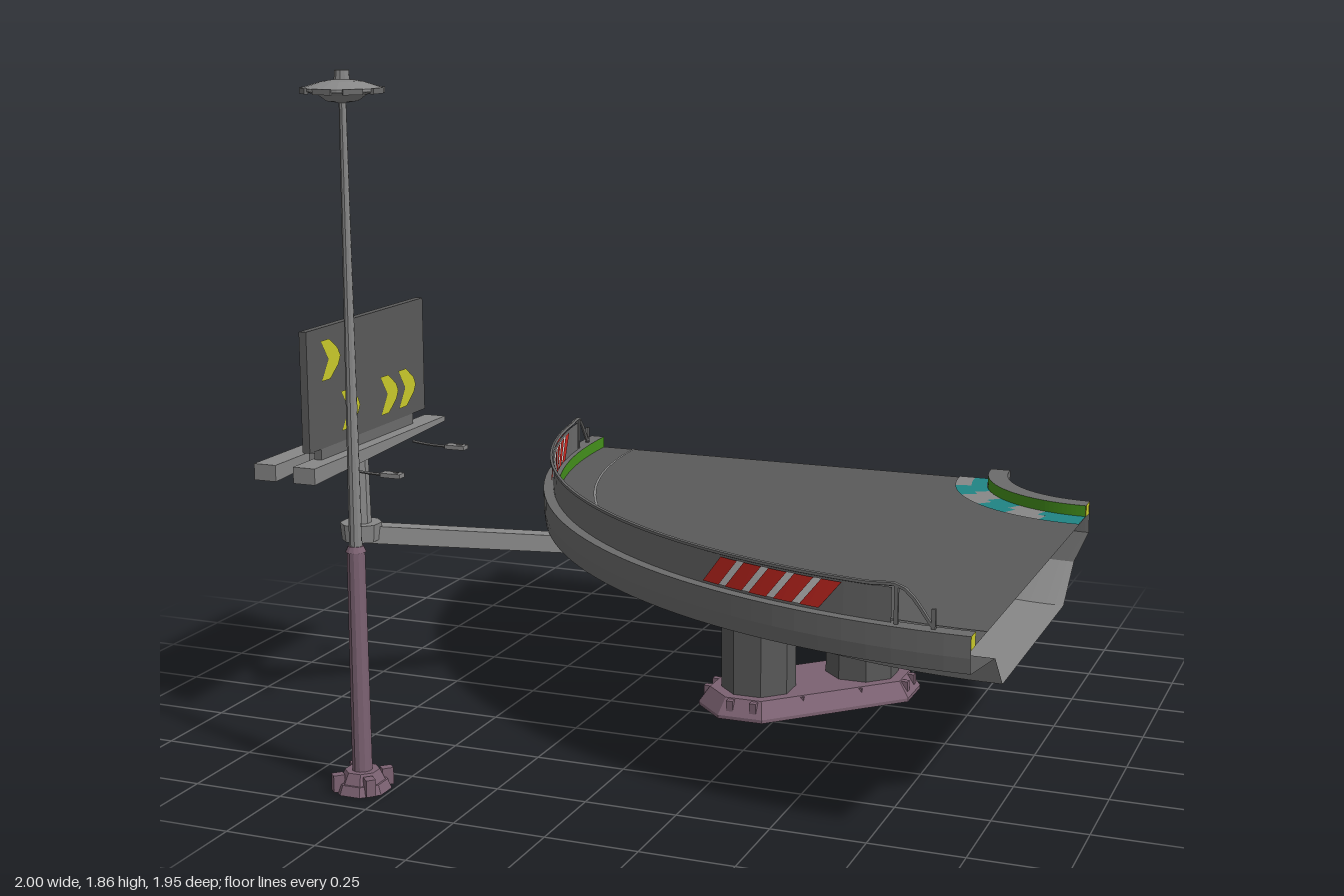
import * as THREE from 'three';
import { ConvexGeometry } from 'three/addons/geometries/ConvexGeometry.js';

const mat = (name, color, extra = {}) => {
  const m = new THREE.MeshStandardMaterial({ color, side: THREE.DoubleSide, flatShading: true, ...extra });
  m.name = name;
  return m;
};

export function createModel() {
  const asphalt = mat('asphalt', 0x5a5a5a), wall = mat('wallGrey', 0x6c6c6c), steel = mat('lightGrey', 0x888888);
  const purple = mat('mauveMetal', 0x7c6272), green = mat('green', 0x45921c), teal = mat('teal', 0x208484);
  const red = mat('red', 0xd22a22), white = mat('white', 0xd4d4d4), yellow = mat('yellow', 0xcccc2c);

  const model = new THREE.Group();
  model.name = 'curvedElevatedRoad';
  const group = (name, parent = model) => {
    const g = new THREE.Group();
    g.name = name;
    parent.add(g);
    return g;
  };
  const add = (parent, name, geo, m, x = 0, y = 0, z = 0) => {
    const mesh = new THREE.Mesh(geo, m);
    mesh.name = name;
    mesh.position.set(x, y, z);
    parent.add(mesh);
    return mesh;
  };
  const box = (p, n, m, w, h, d, x, y, z) => add(p, n, new THREE.BoxGeometry(w, h, d), m, x, y, z);
  const cyl = (p, n, m, rt, rb, h, x, y, z, s = 8) => {
    const c = add(p, n, new THREE.CylinderGeometry(rt, rb, h, s), m, x, y, z);
    c.rotation.y = Math.PI / s;
    return c;
  };
  const rad = THREE.MathUtils.degToRad;

  // Quarter bend: everything sweeps around the corner pivot, 0 deg at -x to 90 deg at +z
  const bend = group('roadBend');
  bend.position.set(1, 0, -0.98);
  const sweep = (name, m, pts, a = 0, b = 90, lean = 0) => {
    const geo = new THREE.LatheGeometry(pts.map(p => new THREE.Vector2(...p)),
      Math.max(2, Math.ceil((b - a) / 2.2)), rad(a - 90), rad(b - a));
    if (lean) {
      const p = geo.attributes.position;
      for (let i = 0; i < p.count; i++) {
        const t = lean * (p.getY(i) - 0.6), x = p.getX(i), z = p.getZ(i);
        p.setX(i, x * Math.cos(t) + z * Math.sin(t));
        p.setZ(i, z * Math.cos(t) - x * Math.sin(t));
      }
      geo.computeVertexNormals();
    }
    return add(bend, name, geo, m);
  };
  const polar = (r, deg, y) => new THREE.Vector3(-r * Math.cos(rad(deg)), y, r * Math.sin(rad(deg)));

  // Deck, curbs and hollow girder
  sweep('roadSurface', asphalt, [[1.69, 0.52], [0.37, 0.52]]);
  sweep('outerCurb', wall, [[1.73, 0.46], [1.735, 0.5], [1.735, 0.555], [1.69, 0.555]]);
  sweep('innerCurb', wall, [[0.37, 0.555], [0.31, 0.555], [0.31, 0.46]]);
  sweep('outerGreenStrip', green, [[1.69, 0.555], [1.69, 0.52]]);
  sweep('innerGreenStrip', green, [[0.37, 0.52], [0.37, 0.555]]);
  sweep('innerUnderside', asphalt, [[0.31, 0.46], [0.52, 0.425]]);
  sweep('outerUnderside', asphalt, [[1.48, 0.425], [1.73, 0.46]]);
  sweep('girder', steel, [[0.52, 0.425], [0.65, 0.33], [1.39, 0.33], [1.48, 0.425]]);
  sweep('edgeLine', steel, [[1.584, 0.523], [1.576, 0.523]]);

  // Chequered apron beside the inner curb
  for (let i = 0; i < 6; i++) {
    const a = i * 15;
    sweep('apronOuter', i % 2 ? teal : steel, [[0.47, 0.523], [0.42, 0.523]], a, a + 15);
    const s = Math.max(0, a - 4), e = i === 5 ? 90 : a + 11;
    sweep('apronInner', i % 2 || i === 0 ? teal : steel, [[0.42, 0.523], [0.372, 0.523]], s, e);
  }

  // Yellow end plates on the curbs
  for (const r of [0.34, 1.712]) {
    box(bend, 'curbEnd', yellow, 0.008, 0.035, 0.044, -0.004, 0.537, r);
    box(bend, 'curbEnd', yellow, 0.044, 0.035, 0.008, -r, 0.537, 0.004);
  }

  // Small vents under the wings
  for (let i = 0; i < 8; i++) sweep('outerVent', wall, [[1.57, 0.434], [1.63, 0.443]], 5 + i * 10.5, 10 + i * 10.5);
  for (let i = 0; i < 3; i++) sweep('innerVent', wall, [[0.4, 0.441], [0.45, 0.433]], 14 + i * 25, 26 + i * 25);

  // Guard rail with sloping ends
  sweep('railPanel', wall, [[1.705, 0.555], [1.705, 0.643]], 7, 83);
  const railPath = [polar(1.71, 3.3, 0.558)];
  for (let a = 6; a <= 84; a += 3) railPath.push(polar(1.71, a, 0.648));
  railPath.push(polar(1.71, 86.7, 0.558));
  add(bend, 'topRail', new THREE.TubeGeometry(new THREE.CatmullRomCurve3(railPath), 90, 0.006, 5), wall);
  for (const a of [3.3, 6.5, 83.5, 86.7]) {
    const p = polar(1.71, a, 0.58);
    box(bend, 'railPost', wall, 0.01, a < 5 || a > 85 ? 0.05 : 0.14, 0.01, p.x, p.y, p.z);
  }

  // Striped warning panels, shown on both faces of the rail
  for (const side of [0, 1]) {
    const place = (name, m, r, a, b) => sweep(name, m, [[r, 0.563], [r, 0.638]],
      side ? 90 - b : a, side ? 90 - a : b, side ? -0.5 : 0.5);
    for (const s of [-1, 1]) {
      place('warningPanel', white, 1.705 + s * 0.003, 65, 77.5);
      for (let i = 0; i < 5; i++) place('warningStripe', red, 1.705 + s * 0.006, 65 + i * 2.65, 66.9 + i * 2.65);
    }
  }

  // Twin piers with flared footing and matching head
  const piers = group('piers');
  const centres = [[0.4, -0.37], [0.16, -0.13]];
  const flange = (name, levels) => {
    const pts = [];
    for (const [cx, cz] of centres)
      for (const [r, y] of levels)
        for (let i = 0; i < 8; i++) {
          const a = (i + 0.5) * Math.PI / 4, R = r / Math.cos(Math.PI / 8);
          pts.push(new THREE.Vector3(cx + R * Math.cos(a), y, cz + R * Math.sin(a)));
        }
    add(piers, name, new ConvexGeometry(pts), purple);
  };
  flange('footing', [[0.16, 0], [0.16, 0.01], [0.13, 0.055]]);
  flange('pierHead', [[0.13, 0.435], [0.16, 0.48], [0.16, 0.5]]);
  for (const [x, z] of centres) {
    cyl(piers, 'pier', asphalt, 0.108, 0.108, 0.4, x, 0.24, z).rotation.y = Math.PI / 8;
    for (const s of [-1, 1]) for (const d of [-0.035, 0.035]) for (const y of [0.032, 0.46]) {
      box(piers, 'bracket', purple, 0.02, 0.04, 0.03, x + d, y, z + s * 0.137);
      box(piers, 'bracket', purple, 0.03, 0.04, 0.02, x + s * 0.137, y, z + d);
    }
  }

  // Lamp post
  const lamp = group('lampPost');
  lamp.position.set(-0.58, 0, 0.87);
  cyl(lamp, 'lampBase', purple, 0.065, 0.075, 0.025, 0, 0.0125, 0);
  cyl(lamp, 'lampBaseTop', purple, 0.045, 0.06, 0.03, 0, 0.038, 0);
  cyl(lamp, 'lowerPole', purple, 0.024, 0.027, 0.6, 0, 0.34, 0, 12);
  cyl(lamp, 'poleCollar', purple, 0.02, 0.027, 0.015, 0, 0.645, 0, 12);
  cyl(lamp, 'upperPole', steel, 0.009, 0.017, 1.16, 0, 1.22, 0, 10);
  const head = [[0.01, 1.775], [0.04, 1.78], [0.06, 1.795], [0.1, 1.805], [0.1, 1.812], [0.05, 1.828], [0.02, 1.832], [0, 1.832]];
  add(lamp, 'lampHead', new THREE.LatheGeometry(head.map(p => new THREE.Vector2(...p)), 16), steel);
  cyl(lamp, 'lampCap', steel, 0.018, 0.02, 0.03, 0, 1.84, 0, 10);
  for (let i = 0; i < 8; i++) {
    const a = i * Math.PI / 4;
    box(lamp, 'lampTab', wall, 0.01, 0.014, 0.05, 0.096 * Math.cos(a), 1.806, 0.096 * Math.sin(a)).rotation.y = -a;
    if (i % 2) box(lamp, 'baseLug', purple, 0.03, 0.045, 0.025, 0.065 * Math.cos(a), 0.026, 0.065 * Math.sin(a)).rotation.y = -a;
  }

  // Bracket arm carrying the sign
  const sign = group('roadSign');
  const from = new THREE.Vector3(-0.89, 0.52, 0.3), to = new THREE.Vector3(-0.24, 0.375, -0.35);
  const arm = box(sign, 'bracketArm', steel, 0.06, 0.05, from.distanceTo(to), 0, 0, 0);
  arm.position.copy(from).lerp(to, 0.5);
  arm.lookAt(to);
  cyl(sign, 'armHub', steel, 0.06, 0.055, 0.05, -0.89, 0.525, 0.3);
  cyl(sign, 'signPost', steel, 0.024, 0.03, 0.3, -0.89, 0.69, 0.3);
  cyl(sign, 'postTop', steel, 0.014, 0.024, 0.03, -0.885, 0.852, 0.3);

  // Walkway frame: two tapered beams and crossbars
  const taper = new THREE.Shape([[-0.67, 0.745], [0.08, 0.775], [0.08, 0.79], [-0.67, 0.79]].map(p => new THREE.Vector2(...p)));
  for (const x of [-1, -0.88]) {
    const beam = add(sign, 'frameBeam', new THREE.ExtrudeGeometry(taper, { depth: 0.066, bevelEnabled: false }), steel, x, 0, 0);
    beam.rotation.y = Math.PI / 2;
  }
  for (const z of [0.12, 0.3, 0.48]) box(sign, 'crossbar', steel, 0.09, 0.02, 0.03, -0.907, 0.777, z);

  // Display board with chevrons
  box(sign, 'boardFoot', wall, 0.022, 0.035, 0.52, -0.862, 0.805, 0.31);
  box(sign, 'board', asphalt, 0.022, 0.33, 0.654, -0.862, 0.985, 0.302);
  const chevron = new THREE.Shape([[-0.05, 0.055], [-0.005, 0.055], [0.04, 0.022], [0.052, 0], [0.04, -0.022],
    [-0.005, -0.055], [-0.05, -0.055], [-0.012, 0]].map(p => new THREE.Vector2(...p)));
  for (const [z, y] of [[0.51, 1.06], [0.41, 0.905], [0.19, 0.905], [0.085, 0.905]])
    add(sign, 'chevron', new THREE.ShapeGeometry(chevron), yellow, -0.848, y, z).rotation.y = Math.PI / 2;

  // Spotlights on slim curved arms
  for (const z of [0.11, 0.49]) {
    const path = new THREE.QuadraticBezierCurve3(new THREE.Vector3(-0.82, 0.752, z),
      new THREE.Vector3(-0.72, 0.738, z), new THREE.Vector3(-0.66, 0.752, z));
    add(sign, 'spotlightArm', new THREE.TubeGeometry(path, 8, 0.004, 5), wall);
    box(sign, 'spotlight', steel, 0.06, 0.012, 0.03, -0.68, 0.746, z);
  }
  return model;
}
